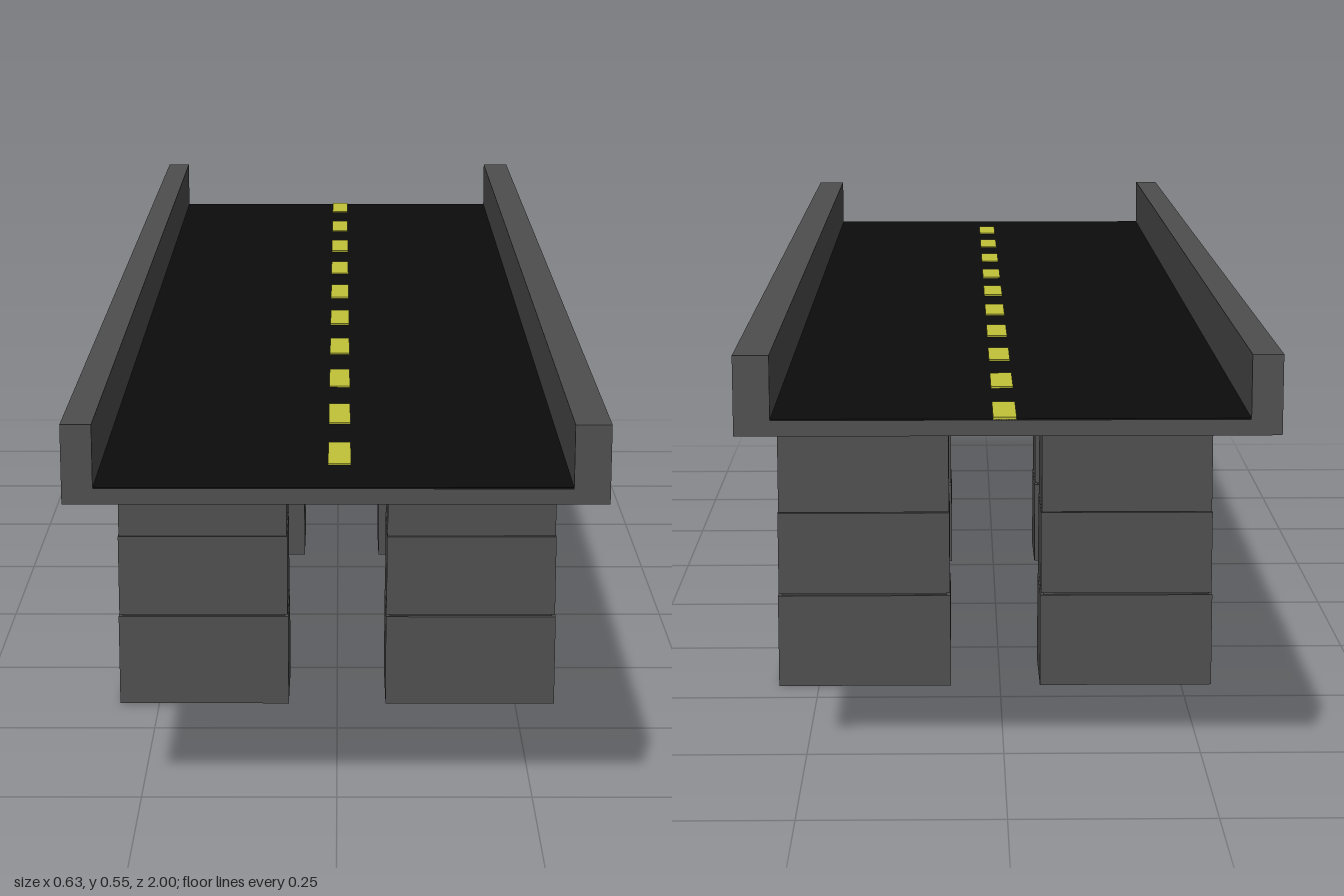
import * as THREE from 'three';

export function createModel() {
  const bridge = new THREE.Group();
  bridge.name = 'roadBridge';

  const material = (name, color) => {
    const m = new THREE.MeshStandardMaterial({ color });
    m.name = name;
    return m;
  };
  const concrete = material('concrete grey', 0x4e4e4e);
  const asphalt = material('asphalt black', 0x0c0c0c);
  const paint = material('line yellow', 0xc2c337);

  // Box given by its lower and upper limits on each axis
  function addBox(parent, name, mat, [x0, x1], [y0, y1], [z0, z1]) {
    const mesh = new THREE.Mesh(new THREE.BoxGeometry(x1 - x0, y1 - y0, z1 - z0), mat);
    mesh.position.set((x0 + x1) / 2, (y0 + y1) / 2, (z0 + z1) / 2);
    mesh.name = name;
    parent.add(mesh);
  }

  // Deck slab and both parapets in one U-shaped profile
  const profile = new THREE.Shape([
    [-0.315, 0.46], [0.314, 0.46], [0.314, 0.554], [0.272, 0.554],
    [0.272, 0.478], [-0.279, 0.478], [-0.279, 0.554], [-0.315, 0.554],
  ].map(([x, y]) => new THREE.Vector2(x, y)));
  const deck = new THREE.Mesh(
    new THREE.ExtrudeGeometry(profile, { depth: 2, bevelEnabled: false }), concrete);
  deck.position.z = -1;
  deck.name = 'deckWithParapets';
  bridge.add(deck);

  // Road surface and dashed centre line
  addBox(bridge, 'roadSurface', asphalt, [-0.279, 0.272], [0.478, 0.48], [-1, 1]);
  for (let i = 0; i < 10; i++) {
    const z = -1 + i * 0.2;
    addBox(bridge, 'centreDash', paint, [-0.01, 0.017], [0.479, 0.482], [z, z + 0.1]);
  }

  // Four piers, each a stack of blocks with fine recessed joints
  const courses = [[0, 0.128, 0.002], [0.131, 0.244, 0.001], [0.245, 0.359, 0], [0.362, 0.459, 0]];
  const piers = [
    ['frontLeftPier', 0.07, 0.303, 0.278, 0.4],
    ['frontRightPier', -0.303, -0.07, 0.278, 0.4],
    ['backLeftPier', 0.07, 0.303, -0.443, -0.321],
    ['backRightPier', -0.29, -0.057, -0.443, -0.321],
  ];
  for (const [name, x0, x1, z0, z1] of piers) {
    const pier = new THREE.Group();
    pier.name = name;
    bridge.add(pier);
    for (const [y0, y1, grow] of courses) {
      addBox(pier, 'pierBlock', concrete, [x0 - grow, x1 + grow], [y0, y1], [z0 - grow, z1 + grow]);
    }
    addBox(pier, 'pierCore', concrete, [x0 + 0.003, x1 - 0.003], [0.01, 0.465], [z0 + 0.003, z1 - 0.003]);
  }

  return bridge;
}
